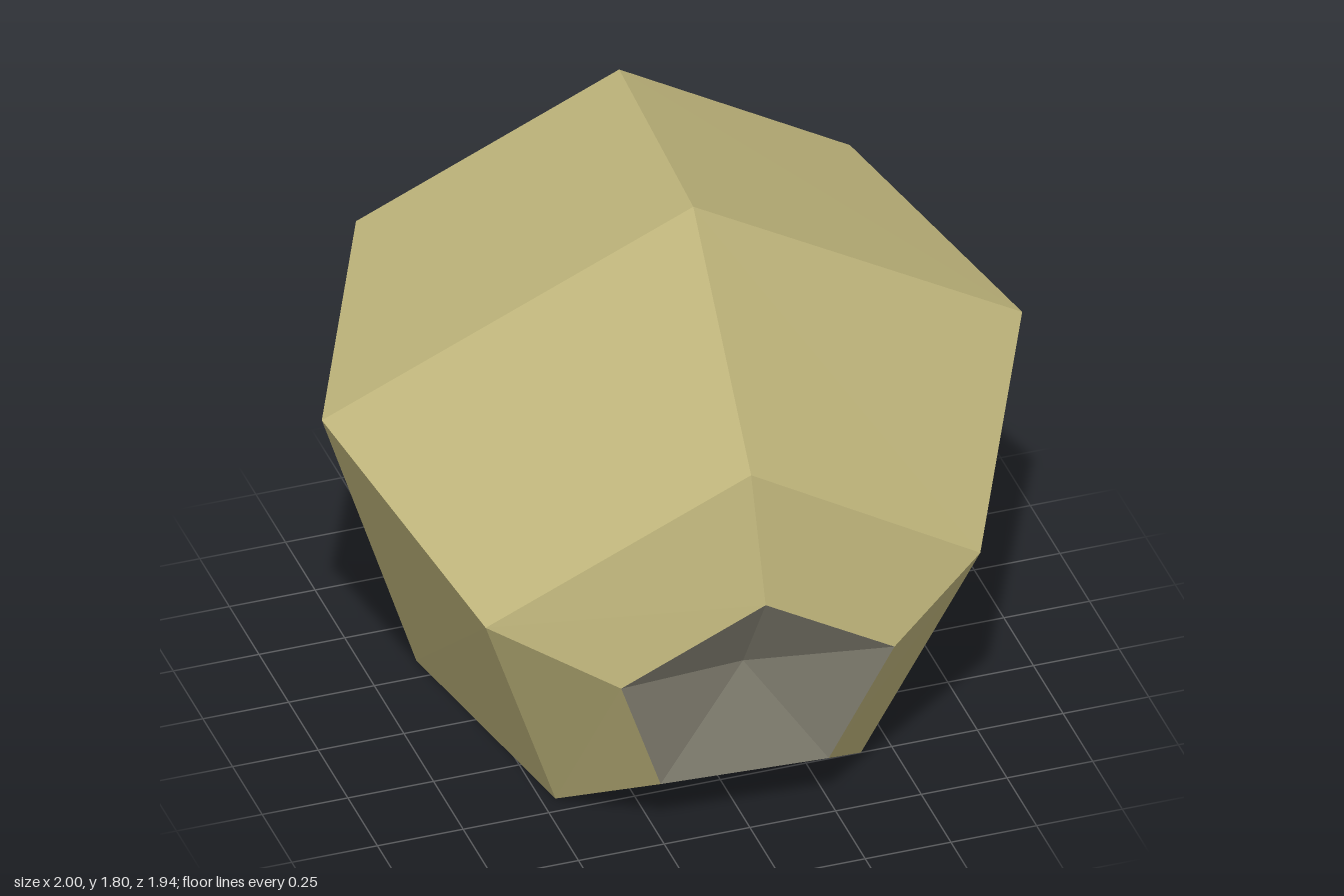
import * as THREE from 'three';

const olive = new THREE.MeshStandardMaterial({ color: 0xc0b67c });
olive.name = 'olive stone';
const grey = new THREE.MeshStandardMaterial({ color: 0x8a8778 });
grey.name = 'grey hollow';

// Pentagonal cross-sections from front to back, each: top, right, lower right, lower left, left
const rings = [
  [[-0.03, 0.885, 0.97], [-0.41, 0.615, 0.85], [-0.25, 0.18, 0.72], [0.23, 0.18, 0.75], [0.37, 0.615, 0.9]],
  [[-0.05, 1.28, 0.905], [-0.75, 0.79, 0.69], [-0.46, 0, 0.44], [0.41, 0, 0.5], [0.66, 0.79, 0.785]],
  [[-0.02, 1.8, 0.33], [-1, 1.115, -0.025], [-0.6, 0, -0.33], [0.64, 0, -0.25], [1, 1.115, 0.155]],
  [[0.035, 1.745, -0.455], [-0.66, 1.26, -0.665], [-0.375, 0.475, -0.915], [0.5, 0.475, -0.86], [0.75, 1.26, -0.575]],
];
rings[2][1][2] = 0.03;
const backTip = [0.06, 1.14, -0.97];
const hollowTip = [-0.02, 0.56, 0.75];

// Faceted mesh from a flat list of triangle corners
function facets(name, corners, material) {
  const geometry = new THREE.BufferGeometry();
  geometry.setAttribute('position', new THREE.Float32BufferAttribute(corners.flat(), 3));
  geometry.computeVertexNormals();
  const mesh = new THREE.Mesh(geometry, material);
  mesh.name = name;
  return mesh;
}

// Side panels joining two neighbouring cross-sections
function band(front, back) {
  return front.flatMap((a, j) => {
    const k = (j + 1) % front.length;
    return [a, back[j], back[k], a, back[k], front[k]];
  });
}

// Triangles from a cross-section to a single point
function fan(ring, tip, toBack) {
  return ring.flatMap((a, j) => {
    const b = ring[(j + 1) % ring.length];
    return toBack ? [a, tip, b] : [a, b, tip];
  });
}

export function createModel() {
  const group = new THREE.Group();
  group.name = 'facetedStone';
  ['frontBevel', 'frontSides', 'backSides'].forEach((name, i) =>
    group.add(facets(name, band(rings[i], rings[i + 1]), olive)));
  group.add(facets('backPoint', fan(rings[3], backTip, true), olive));
  // Shallow recess in the front
  group.add(facets('frontHollow', fan(rings[0], hollowTip, false), grey));
  return group;
}
